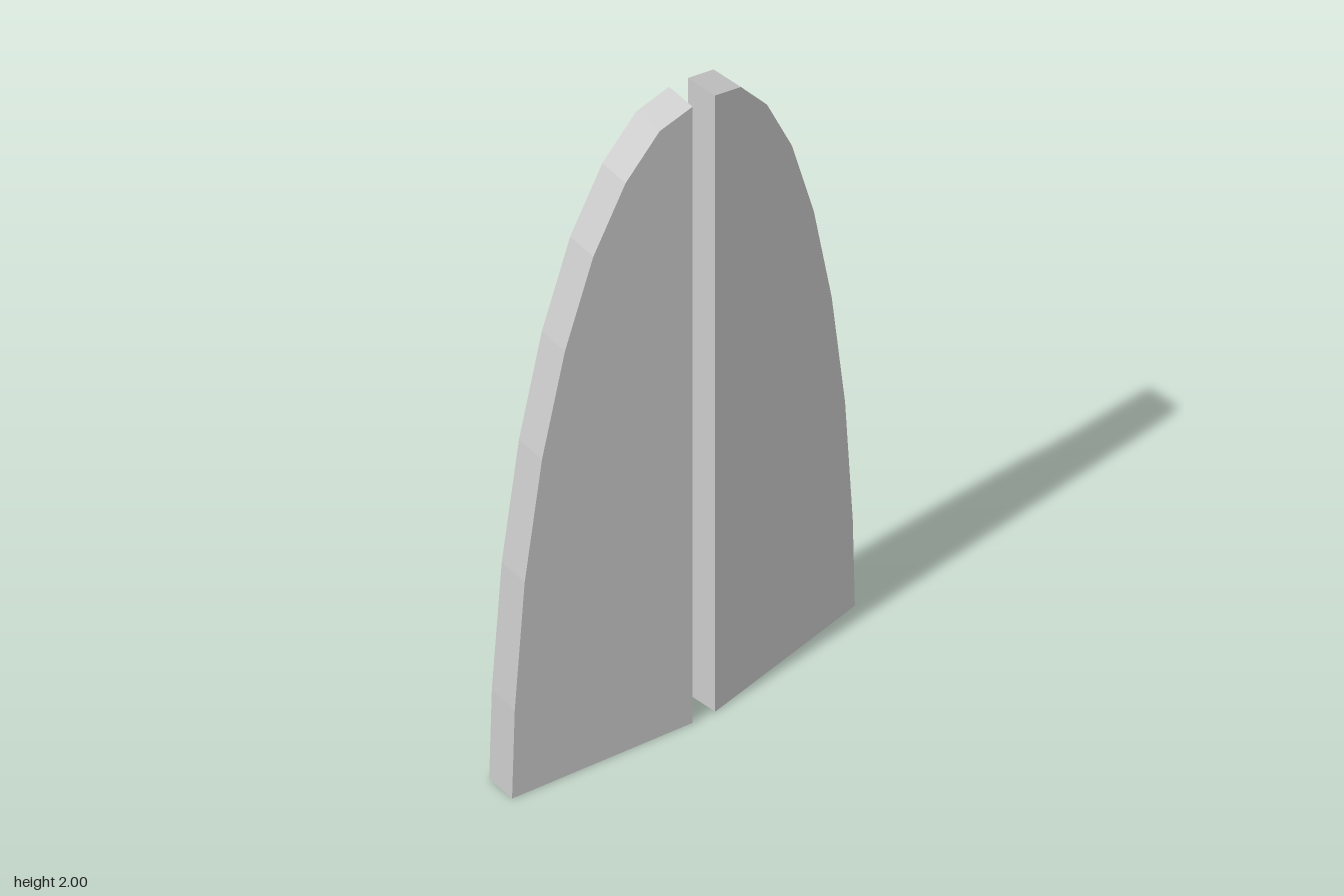
import * as THREE from 'three';

// Outline of one panel: u runs from the inner edge (0) to the outer edge (1), then height
const OUTLINE = [
  [0, 0], [1, 0], [0.985, 0.285], [0.93, 0.685], [0.834, 1.06], [0.707, 1.38],
  [0.55, 1.648], [0.371, 1.843], [0.183, 1.965], [0, 2],
];

// Extrudes the outline, then maps (u, depth) onto the footprint corners [x, z]:
// a = inner start, b = outer start, c = inner end, d = outer end
function panel(name, material, a, b, c, d) {
  const shape = new THREE.Shape(OUTLINE.map(([u, y]) => new THREE.Vector2(u, y)));
  const geometry = new THREE.ExtrudeGeometry(shape, { depth: 1, bevelEnabled: false });
  const pos = geometry.attributes.position;
  const blend = (u, w, i) =>
    (1 - w) * ((1 - u) * a[i] + u * b[i]) + w * ((1 - u) * c[i] + u * d[i]);
  for (let i = 0; i < pos.count; i++) {
    const u = pos.getX(i), w = pos.getZ(i);
    pos.setXYZ(i, blend(u, w, 0), pos.getY(i), blend(u, w, 1));
  }
  geometry.computeVertexNormals();
  const mesh = new THREE.Mesh(geometry, material);
  mesh.name = name;
  return mesh;
}

export function createModel() {
  const group = new THREE.Group();
  group.name = 'splitArchPanels';
  const material = new THREE.MeshStandardMaterial({ color: 0xcccccc, flatShading: true });

  // Front half, extruded from its left face to its right face
  group.add(panel('frontPanel', material,
    [0.096, 0.039], [0.029, 0.6], [-0.007, 0.029], [-0.074, 0.588]));
  // Back half, extruded from its right face to its left face
  group.add(panel('backPanel', material,
    [-0.003, -0.033], [-0.1, -0.596], [0.099, -0.036], [0.001, -0.602]));
  return group;
}
